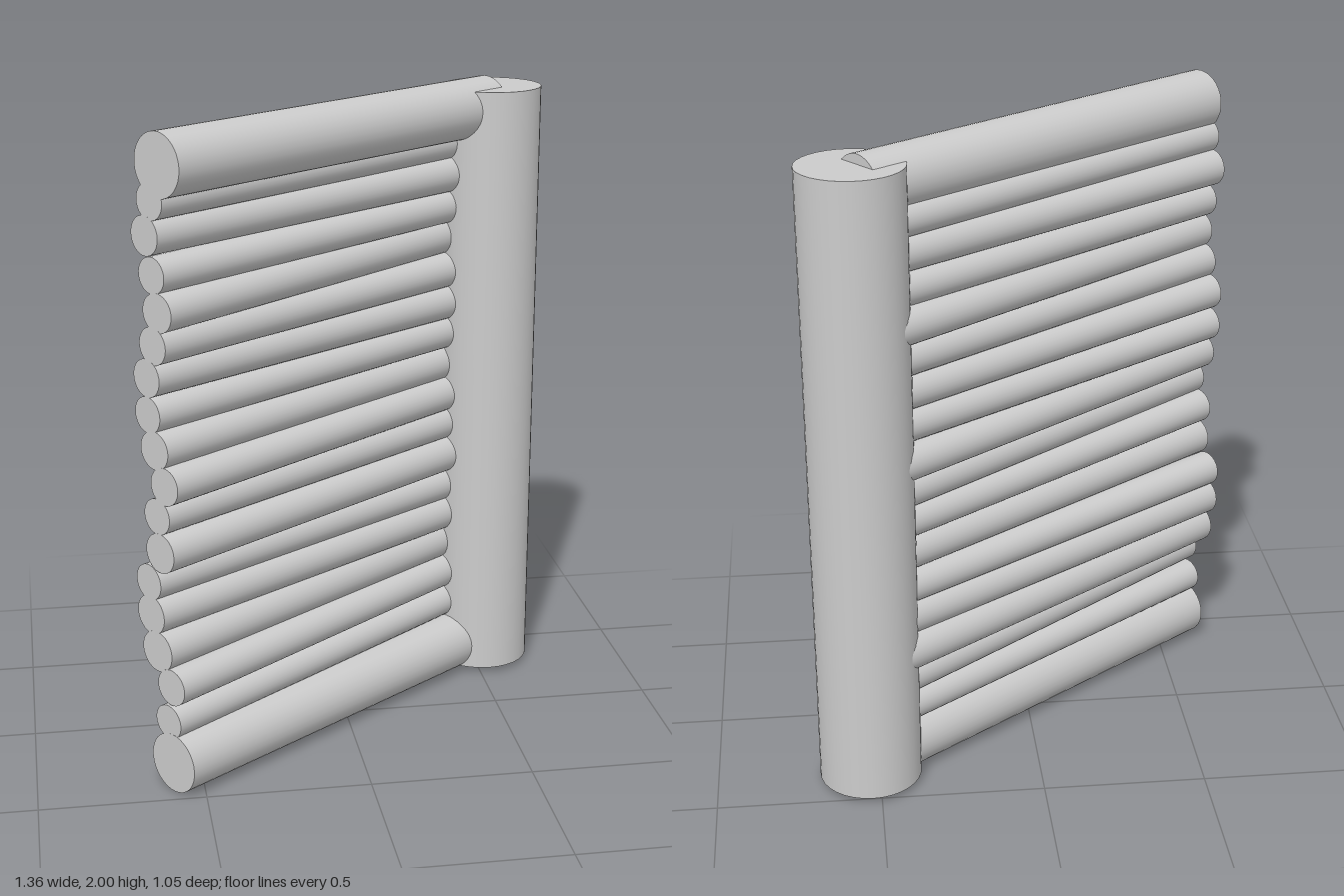
import * as THREE from 'three';

const material = new THREE.MeshStandardMaterial({ color: 0xcccccc });

// Wall axis in plan, from the free end to the post
const start = new THREE.Vector3(-0.593, 0, 0.447);
const end = new THREE.Vector3(0.508, 0, -0.371);
const dir = end.clone().sub(start).normalize();
const side = new THREE.Vector3(-dir.z, 0, dir.x); // horizontal, toward the front

// A round log between two points
function log(name, a, b, radius) {
  const geometry = new THREE.CylinderGeometry(radius, radius, a.distanceTo(b), 32);
  const mesh = new THREE.Mesh(geometry, material);
  mesh.name = name;
  mesh.position.addVectors(a, b).multiplyScalar(0.5);
  mesh.quaternion.setFromUnitVectors(new THREE.Vector3(0, 1, 0), b.clone().sub(a).normalize());
  return mesh;
}

// A point at one end of the wall, at a height and sideways offset
const at = (base, y, offset = 0) => base.clone().addScaledVector(side, offset).setY(y);

export function createModel() {
  const model = new THREE.Group();
  model.name = 'logFenceSection';

  // Upright post
  model.add(log('post', new THREE.Vector3(0.528, 0.02, -0.37), new THREE.Vector3(0.528, 1.97, -0.37), 0.157));

  // Thick rails
  model.add(log('topRail', at(start, 1.906), at(end, 1.906), 0.094));
  model.add(log('bottomRail', at(start, 0.095), at(end, 0.095), 0.094));

  // Thin logs: outer height, inner height, outer offset, inner offset, radius
  const logs = [
    [1.80, 1.80, -0.036, -0.045, 0.054],
    [1.70, 1.70, -0.061, -0.035, 0.058],
    [1.59, 1.595, -0.036, -0.045, 0.054],
    [1.485, 1.495, -0.016, -0.075, 0.058],
    [1.385, 1.385, -0.040, -0.045, 0.056],
    [1.285, 1.28, -0.070, -0.040, 0.057],
    [1.175, 1.18, -0.070, -0.045, 0.055],
    [1.073, 1.07, -0.045, -0.070, 0.058],
    [0.972, 0.97, -0.006, -0.045, 0.057],
    [0.872, 0.87, -0.042, -0.045, 0.055],
    [0.76, 0.765, -0.033, -0.035, 0.061],
    [0.655, 0.655, -0.088, -0.045, 0.056],
    [0.553, 0.555, -0.082, -0.045, 0.061],
    [0.442, 0.45, -0.058, -0.070, 0.064],
    [0.342, 0.345, 0.000, -0.045, 0.057],
    [0.225, 0.24, -0.017, -0.040, 0.054],
  ];
  const infill = new THREE.Group();
  infill.name = 'infillLogs';
  for (const [y0, y1, o0, o1, r] of logs) {
    infill.add(log('infillLog', at(start, y0, o0), at(end, y1, o1), r));
  }
  model.add(infill);
  return model;
}
